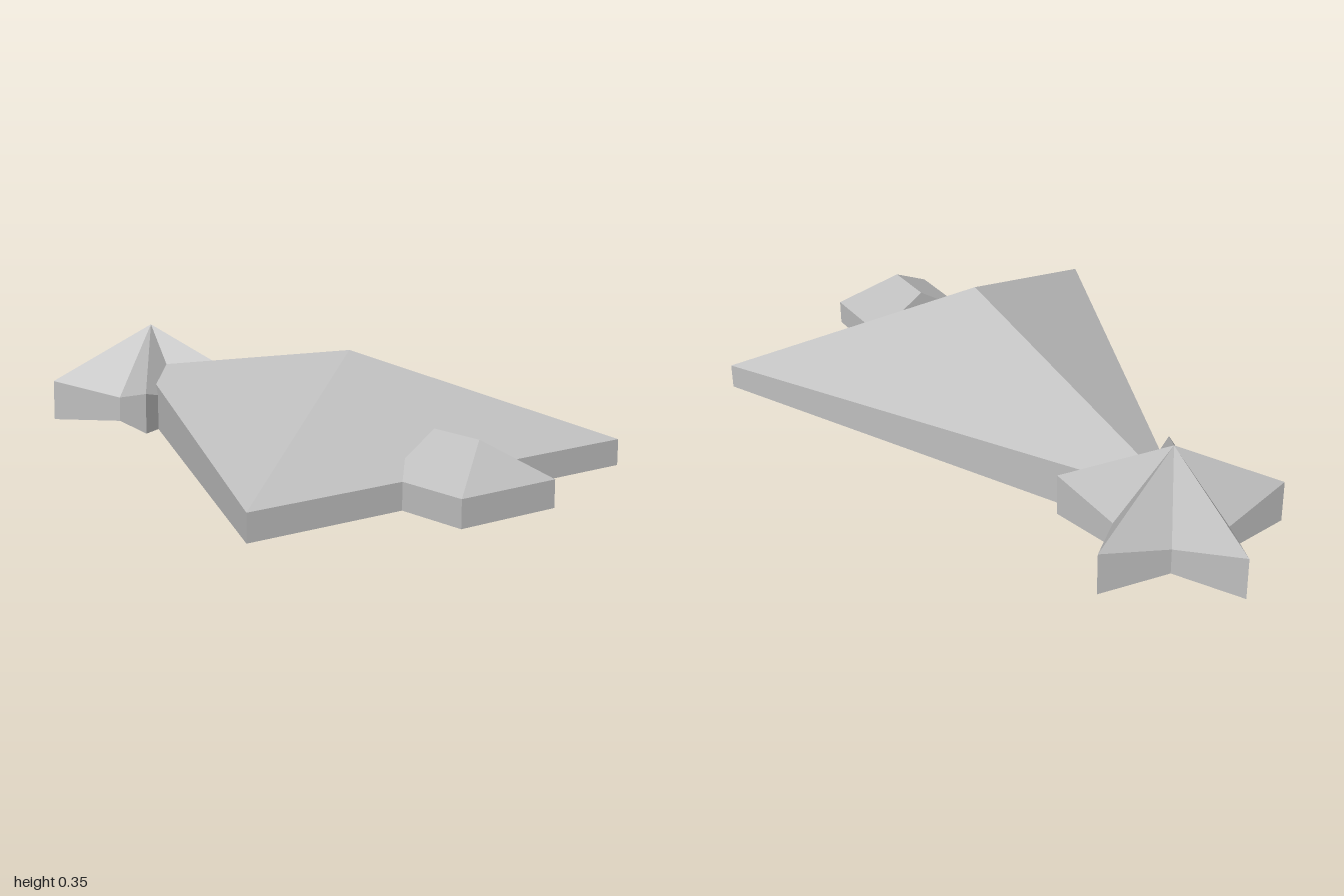
import * as THREE from 'three';

const grey = new THREE.MeshStandardMaterial({ color: 0xc0c0c0 });
grey.name = 'plain grey';

// Upright walls on a flat base, closed by facets rising to one peak.
// rim: [x, y, z] corners, counterclockwise seen from above.
function facetedSolid(name, rim, peak) {
  const pos = [];
  const floor = ([x, , z]) => [x, 0, z];
  const tri = (a, b, c) => pos.push(...a, ...b, ...c);
  rim.forEach((a, i) => {
    const b = rim[(i + 1) % rim.length];
    tri(a, b, peak); // roof facet
    tri(floor(a), floor(b), b); // wall
    tri(floor(a), b, a);
    tri(floor(b), floor(a), floor(peak)); // underside
  });
  const geometry = new THREE.BufferGeometry();
  geometry.setAttribute('position', new THREE.Float32BufferAttribute(pos, 3));
  geometry.computeVertexNormals();
  const mesh = new THREE.Mesh(geometry, grey);
  mesh.name = name;
  return mesh;
}

export function createModel() {
  const model = new THREE.Group();
  model.name = 'treeWithStar';

  // Triangular foliage with its tip tucked into the star
  model.add(facetedSolid('foliage', [
    [-0.667, 0.077, 0.78],
    [0.667, 0.077, 0.78],
    [0, 0.152, -0.72],
  ], [0, 0.35, 0.362]));

  // Trunk with a ridged top, hipped at the front and gabled at the back
  model.add(facetedSolid('trunk', [
    [-0.167, 0.077, 1],
    [0.167, 0.077, 1],
    [0.167, 0.077, 0.717],
    [0, 0.185, 0.717],
    [-0.167, 0.077, 0.717],
  ], [0, 0.185, 0.887]));

  // Five-pointed star, points higher than the notches
  const starZ = -0.668;
  const starRim = [];
  for (let i = 0; i < 10; i++) {
    const t = (i * Math.PI) / 5;
    const isPoint = i % 2 === 1;
    const r = isPoint ? 0.332 : 0.166;
    starRim.push([r * Math.sin(t), isPoint ? 0.128 : 0.078, starZ + r * Math.cos(t)]);
  }
  model.add(facetedSolid('star', starRim, [0, 0.3, starZ]));

  return model;
}
